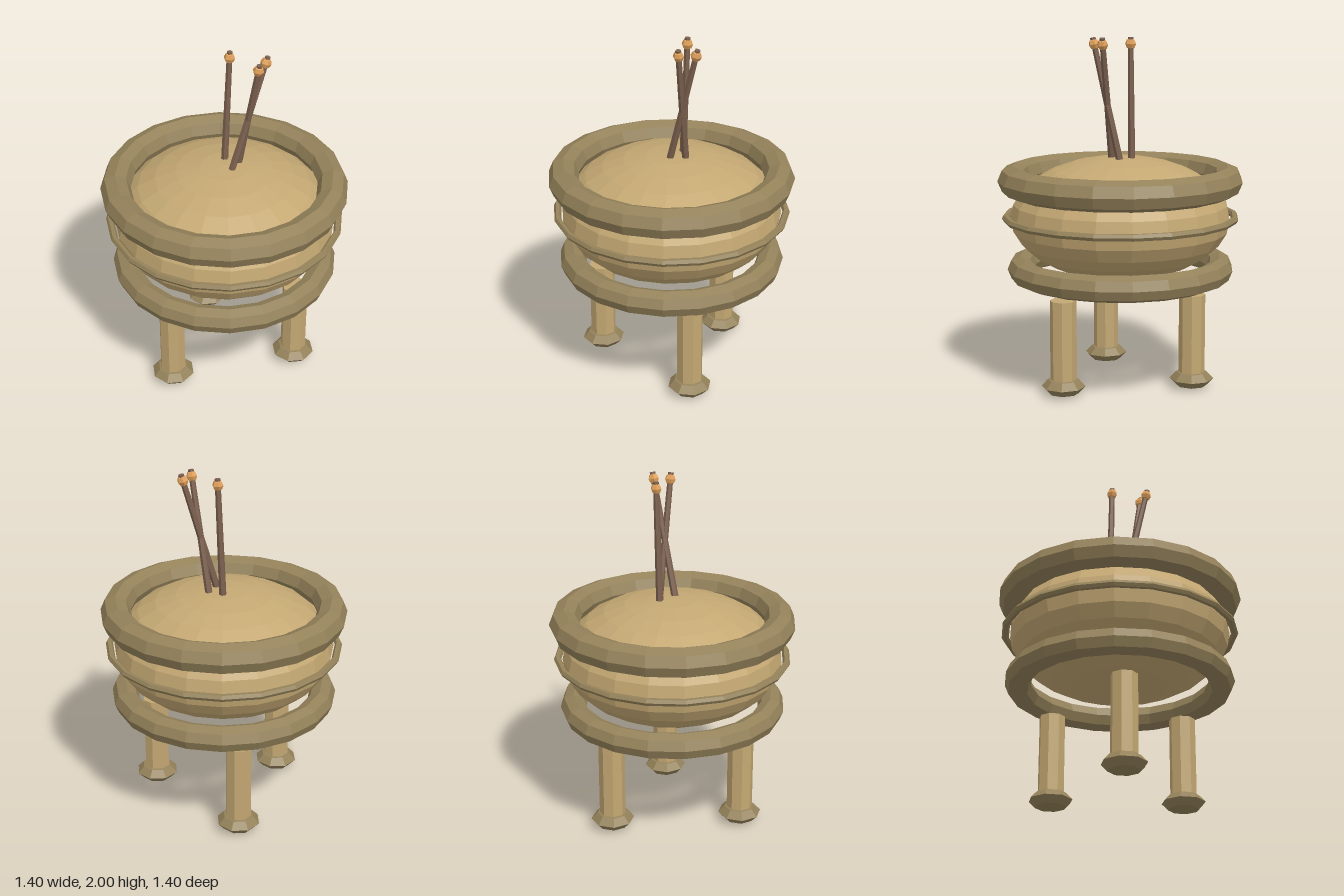
import * as THREE from 'three';

const material = (color) => new THREE.MeshStandardMaterial({ color, flatShading: true });

export function createModel() {
  const group = new THREE.Group();
  const tan = material(0xc4a873);
  const bronze = material(0x94825a);
  const brown = material(0x7d6250);
  const ember = material(0xe0a05a);

  const add = (name, geometry, mat, x, y, z, parent = group) => {
    const mesh = new THREE.Mesh(geometry, mat);
    mesh.name = name;
    mesh.position.set(x, y, z);
    parent.add(mesh);
    return mesh;
  };

  // Flattened round bowl
  add('bowl', new THREE.SphereGeometry(0.63, 20, 14).scale(1, 0.556, 1), tan, 0, 0.975, 0);

  // Rings around the bowl: name, height, radius, tube, tube sides
  const rings = [
    ['rim', 1.19, 0.615, 0.086, 8],
    ['middleBand', 0.977, 0.658, 0.021, 6],
    ['baseRing', 0.68, 0.575, 0.075, 8],
  ];
  for (const [name, y, radius, tube, sides] of rings) {
    add(name, new THREE.TorusGeometry(radius, tube, sides, 20).rotateX(Math.PI / 2), bronze, 0, y, 0);
  }

  // Three legs with flattened feet
  const legGeometry = new THREE.CylinderGeometry(0.075, 0.075, 0.5, 8);
  const footGeometry = new THREE.SphereGeometry(0.125, 8, 4).scale(1, 0.44, 1);
  for (let i = 0; i < 3; i++) {
    const angle = (i * Math.PI * 2) / 3;
    const leg = new THREE.Group();
    leg.name = 'leg' + (i + 1);
    leg.position.set(Math.cos(angle) * 0.43, 0, Math.sin(angle) * 0.43);
    add('legPost', legGeometry, tan, 0, 0.3, 0, leg);
    add('foot', footGeometry, bronze, 0, 0.055, 0, leg);
    group.add(leg);
  }

  // Incense sticks: base and tip points, each with a glowing bead near the tip
  const sticks = [
    [[-0.02, 1.28, -0.073], [0.005, 2, -0.09]],
    [[0.04, 1.28, 0.025], [0.215, 2, -0.09]],
    [[0.06, 1.28, -0.07], [0.195, 2, 0.012]],
  ];
  const up = new THREE.Vector3(0, 1, 0);
  sticks.forEach(([a, b], i) => {
    const base = new THREE.Vector3(...a);
    const axis = new THREE.Vector3(...b).sub(base);
    const length = axis.length();
    const stick = new THREE.Group();
    stick.name = 'incenseStick' + (i + 1);
    stick.position.copy(base);
    stick.quaternion.setFromUnitVectors(up, axis.normalize());
    add('stickRod', new THREE.CylinderGeometry(0.016, 0.021, length, 6), brown, 0, length / 2, 0, stick);
    add('emberBead', new THREE.SphereGeometry(0.032, 6, 4), ember, 0, length - 0.037, 0, stick);
    group.add(stick);
  });

  return group;
}
